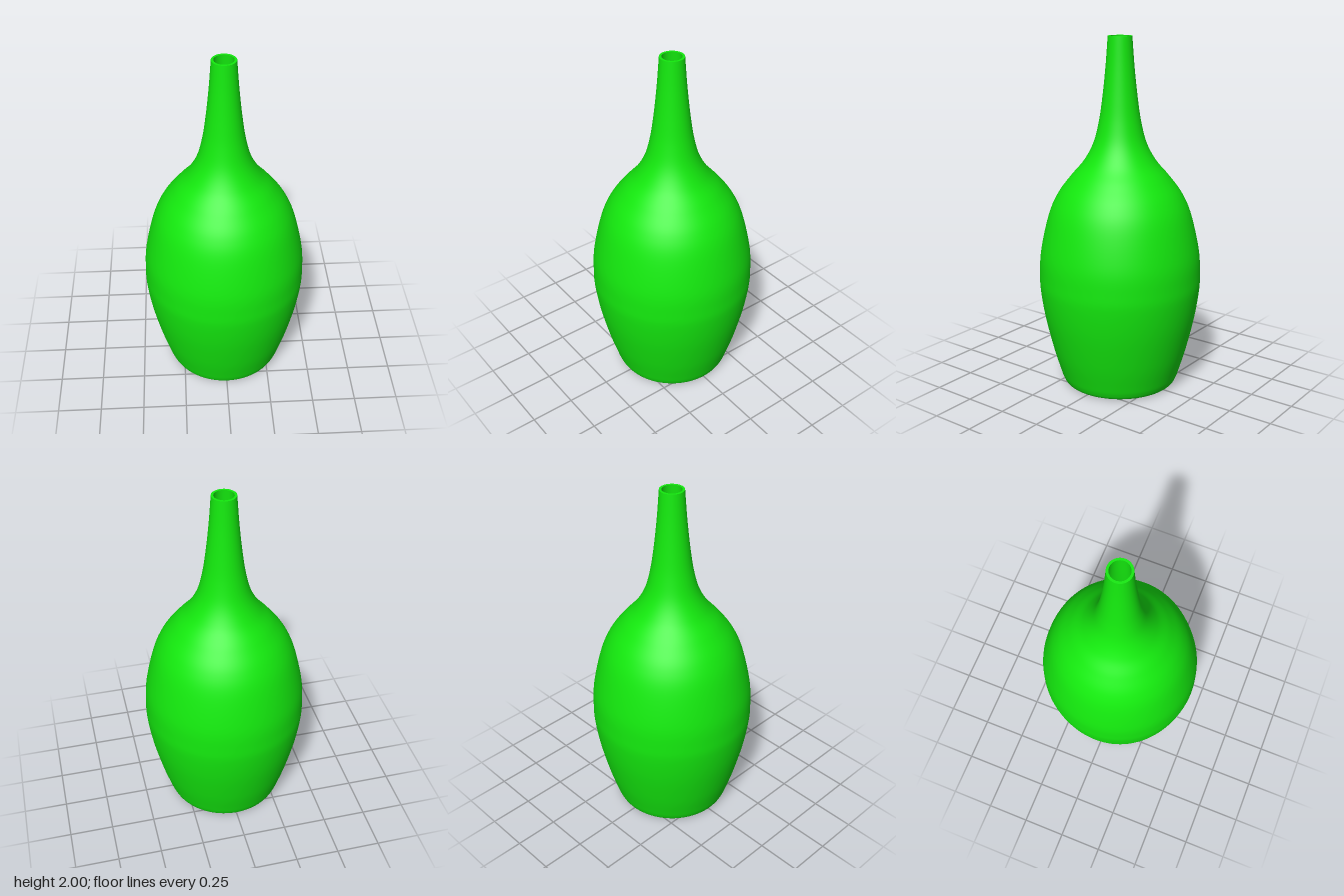
import * as THREE from 'three';

const SEGMENTS = 96;

// Smooth curve through [radius, height] pairs
function smooth(pairs, count) {
  const points = pairs.map(([r, y]) => new THREE.Vector2(r, y));
  return new THREE.SplineCurve(points).getPoints(count);
}

export function createModel() {
  const group = new THREE.Group();
  group.name = 'bottleVase';
  const material = new THREE.MeshStandardMaterial({ color: 0x14ea0e });

  const add = (name, points) => {
    const mesh = new THREE.Mesh(new THREE.LatheGeometry(points, SEGMENTS), material);
    mesh.name = name;
    group.add(mesh);
  };

  // Outer silhouette: rounded foot, full belly, shoulder and slender neck
  const outer = smooth([
    [0.3, 0], [0.322, 0.008], [0.337, 0.035], [0.352, 0.08], [0.39, 0.21],
    [0.434, 0.4], [0.458, 0.56], [0.461, 0.66], [0.451, 0.8], [0.405, 1],
    [0.353, 1.12], [0.28, 1.22], [0.204, 1.31], [0.15, 1.41], [0.118, 1.53],
    [0.097, 1.67], [0.079, 1.84], [0.067, 2],
  ], 110);

  // Inner wall follows the outside at an even thickness
  const inner = smooth([
    [0.054, 2], [0.066, 1.84], [0.084, 1.67], [0.105, 1.53], [0.137, 1.405],
    [0.192, 1.3], [0.27, 1.21], [0.341, 1.11], [0.392, 0.995], [0.437, 0.8],
    [0.447, 0.66], [0.444, 0.56], [0.42, 0.4], [0.376, 0.21], [0.338, 0.08],
    [0.3, 0.02],
  ], 80);

  add('body', outer);
  add('rim', [outer[outer.length - 1], inner[0]]);
  add('innerWall', inner);
  add('innerFloor', [inner[inner.length - 1], new THREE.Vector2(0, 0.02)]);
  add('base', [new THREE.Vector2(0, 0), outer[0]]);

  return group;
}
